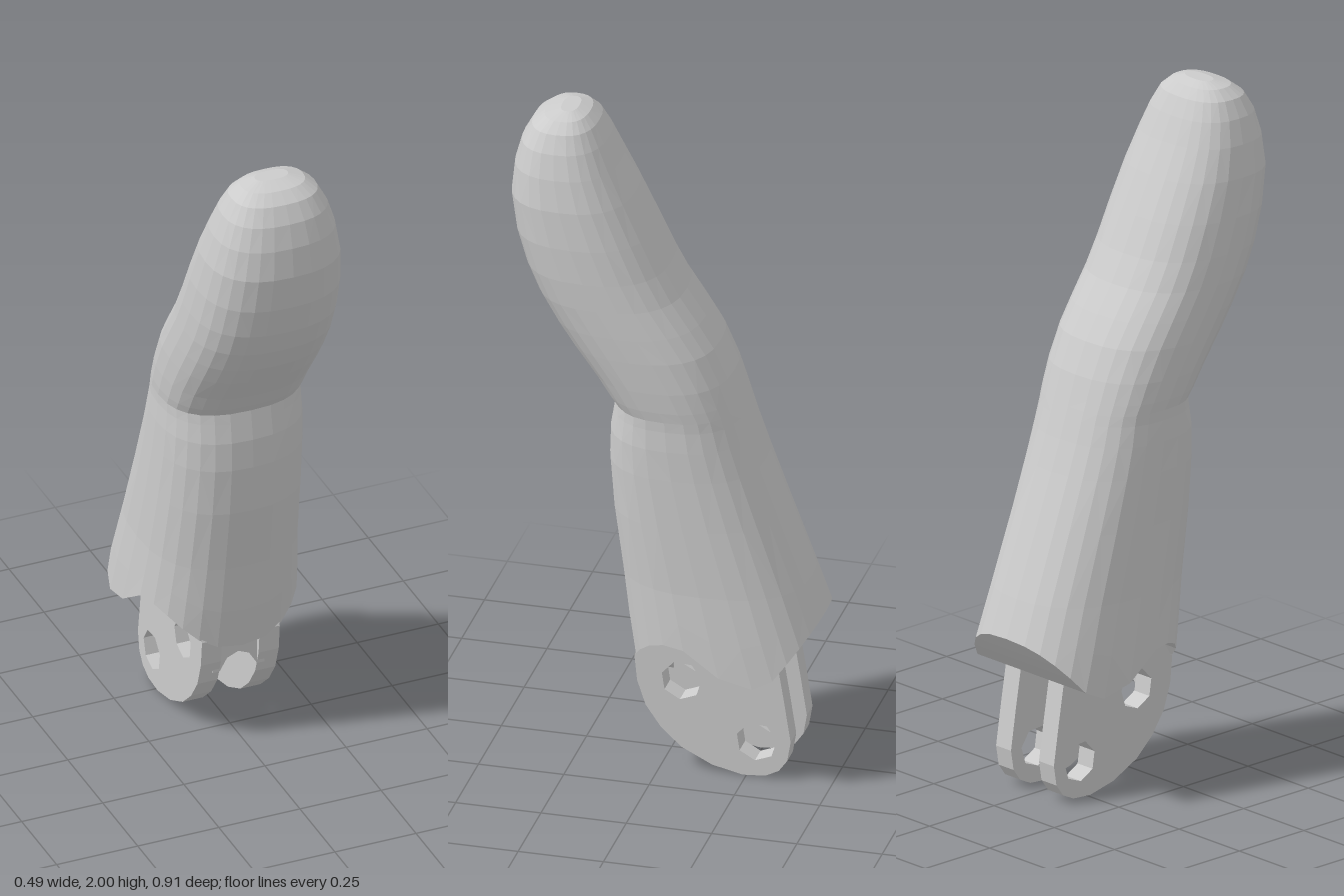
import * as THREE from 'three';

const material = new THREE.MeshStandardMaterial({ color: 0xcccccc, flatShading: true, side: THREE.DoubleSide });

// Finger sections: [y, front z, back z, half width]
const sections = [
  [0.2, 0.07, -0.56, 0.252], [0.4, 0.105, -0.485, 0.243], [0.6, 0.13, -0.412, 0.228],
  [0.8, 0.157, -0.335, 0.22], [0.95, 0.168, -0.278, 0.215], [1.04, 0.165, -0.245, 0.212],
  [1.1, 0.155, -0.225, 0.208], [1.13, 0.15, -0.215, 0.208], [1.16, 0.172, -0.205, 0.211],
  [1.22, 0.212, -0.185, 0.214], [1.31, 0.28, -0.145, 0.216], [1.38, 0.328, -0.1, 0.216],
  [1.46, 0.375, -0.045, 0.215], [1.54, 0.41, 0.0, 0.213], [1.64, 0.44, 0.048, 0.208],
  [1.75, 0.456, 0.103, 0.197], [1.84, 0.447, 0.15, 0.178], [1.91, 0.428, 0.184, 0.155],
  [1.96, 0.4, 0.212, 0.128], [1.987, 0.365, 0.238, 0.095], [2.0, 0.32, 0.27, 0.05],
];
// Wavy lower hem: [z, y]
const hem = [
  [-0.46, 0.5], [-0.4, 0.42], [-0.345, 0.35], [-0.28, 0.33], [-0.2, 0.36], [-0.13, 0.42],
  [-0.06, 0.44], [0.0, 0.425], [0.04, 0.395], [0.065, 0.36], [0.1, 0.29],
];
const SIDES = 28;

// Linear lookup in a table sorted by its first column
function lookup(table, key) {
  let i = 0;
  while (i < table.length - 2 && key > table[i + 1][0]) i++;
  const a = table[i], b = table[i + 1];
  const t = THREE.MathUtils.clamp((key - a[0]) / (b[0] - a[0]), 0, 1);
  return a.map((v, k) => v + (b[k] - v) * t);
}

// Point on the rounded-box section at height y
function skin(y, j) {
  const [, front, back, w] = lookup(sections, y);
  const a = (j / SIDES) * Math.PI * 2;
  const round = (v) => Math.sign(v) * Math.pow(Math.abs(v), 0.8);
  return [w * round(Math.cos(a)), y, (front + back) / 2 + ((front - back) / 2) * round(Math.sin(a))];
}

function fingerGeometry() {
  const pos = [], index = [];
  const rings = [];
  const hemY = [];
  for (let j = 0; j < SIDES; j++) {
    let y = 0.4;
    for (let k = 0; k < 20; k++) y = lookup(hem, skin(y, j)[2])[1];
    hemY.push(y);
  }
  // Hem rings blend up to the first level ring
  for (const t of [0, 0.45]) rings.push(hemY.map((y) => y + (0.6 - y) * t));
  for (const s of sections.slice(2)) rings.push(hemY.map(() => s[0]));
  rings.forEach((ring) => ring.forEach((y, j) => pos.push(...skin(y, j))));
  for (let i = 0; i < rings.length - 1; i++) {
    for (let j = 0; j < SIDES; j++) {
      const n = (j + 1) % SIDES;
      const a = i * SIDES + j, b = i * SIDES + n, c = a + SIDES, d = b + SIDES;
      if ((i + j) % 2) index.push(a, c, b, b, c, d);
      else index.push(a, c, d, a, d, b);
    }
  }
  // Underside and tip, bridged from left to right
  const quarter = SIDES / 4, top = (rings.length - 1) * SIDES;
  for (let j = -quarter; j < quarter; j++) {
    const id = (k) => (k + SIDES) % SIDES;
    const r0 = id(j), r1 = id(j + 1), l0 = id(SIDES / 2 - j), l1 = id(SIDES / 2 - j - 1);
    index.push(r0, r1, l1, r0, l1, l0);
    index.push(top + r0, top + l1, top + r1, top + r0, top + l0, top + l1);
  }
  const geometry = new THREE.BufferGeometry();
  geometry.setAttribute('position', new THREE.Float32BufferAttribute(pos, 3));
  geometry.setIndex(index);
  const flat = geometry.toNonIndexed();
  flat.computeVertexNormals();
  return flat;
}

// Side-view shape (z, y) extruded across x, with its +x face at x = right
function plate(points, thickness, right, holes = []) {
  const shape = new THREE.Shape(points.map(([z, y]) => new THREE.Vector2(z, y)));
  for (const [z, y, r] of holes) {
    const rim = [];
    for (let k = 0; k < 7; k++) {
      const a = (k / 7) * Math.PI * 2 + 0.3;
      rim.push(new THREE.Vector2(z + r * Math.cos(a), y + r * Math.sin(a)));
    }
    shape.holes.push(new THREE.Path(rim));
  }
  const g = new THREE.ExtrudeGeometry(shape, { depth: thickness, bevelEnabled: false });
  return g.rotateY(-Math.PI / 2).translate(right, 0, 0);
}

export function createModel() {
  const group = new THREE.Group();
  const add = (name, geometry) => {
    const mesh = new THREE.Mesh(geometry, material);
    mesh.name = name;
    group.add(mesh);
  };

  add('finger', fingerGeometry());

  // Two hinge lugs with pin holes
  const lug = [
    [-0.335, 0.4], [-0.36, 0.25], [-0.38, 0.12], [-0.37, 0.06], [-0.345, 0.025], [-0.305, 0.005],
    [-0.24, 0], [-0.15, 0.02], [-0.06, 0.065], [0.0, 0.12], [0.045, 0.185], [0.07, 0.26],
    [0.078, 0.34], [0.03, 0.45], [-0.1, 0.48], [-0.25, 0.42],
  ];
  const pins = [[-0.06, 0.275, 0.06], [-0.28, 0.11, 0.06]];
  add('leftLug', plate(lug, 0.062, 0.12, pins));
  add('rightLug', plate(lug, 0.062, -0.058, pins));

  // Arched web joining the lugs at the front
  const arch = new THREE.Shape([
    [-0.08, 0.22], [-0.058, 0.22], [-0.035, 0.26], [0, 0.275], [0.035, 0.26], [0.058, 0.22],
    [0.08, 0.22], [0.08, 0.42], [-0.08, 0.42],
  ].map(([x, y]) => new THREE.Vector2(x, y)));
  add('frontWeb', new THREE.ExtrudeGeometry(arch, { depth: 0.05, bevelEnabled: false }).translate(0, 0, 0.01));
  return group;
}
